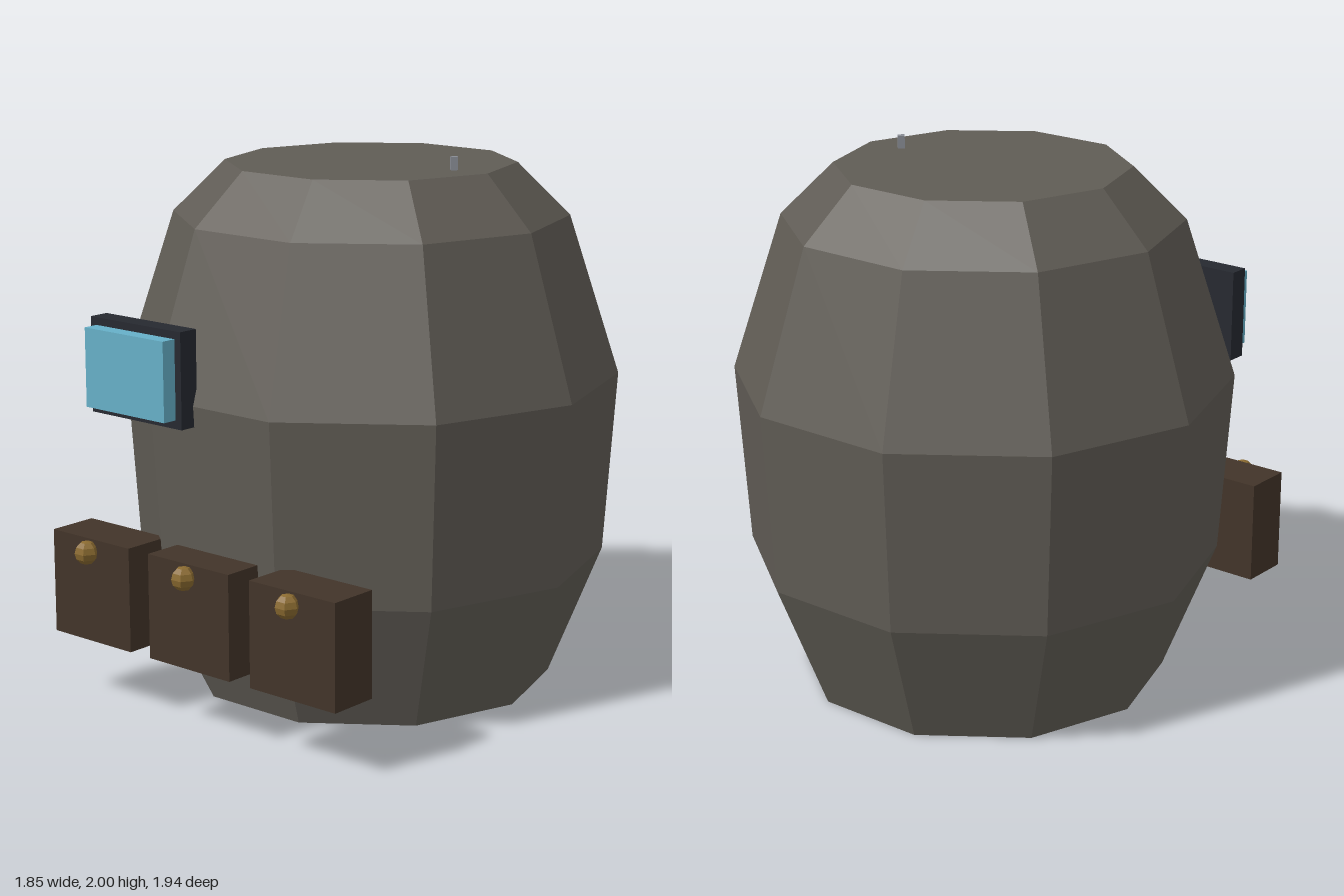
import * as THREE from 'three';

export function createModel() {
  const group = new THREE.Group();
  const material = (color) => new THREE.MeshStandardMaterial({ color, flatShading: true });
  const stone = material(0x605c55);
  const wood = material(0x423429);
  const brass = material(0x8a6a30);
  const frameDark = material(0x262930);
  const glassBlue = material(0x66b0c8);
  const metal = material(0x888c94);

  const add = (name, geometry, mat, x, y, z) => {
    const mesh = new THREE.Mesh(geometry, mat);
    mesh.name = name;
    mesh.position.set(x, y, z);
    group.add(mesh);
    return mesh;
  };

  // Ten-sided barrel body, closed top and bottom, a corner on +x and -x
  const profile = [
    [0, 0], [0.685, 0], [0.88, 0.49], [0.925, 1.17], [0.735, 1.76], [0.54, 1.953], [0, 1.953],
  ].map(([r, y]) => new THREE.Vector2(r, y));
  add('body', new THREE.LatheGeometry(profile, 10, Math.PI / 2), stone, 0, 0, -0.088);

  // Framed screen on the upper front
  add('screenFrame', new THREE.BoxGeometry(0.445, 0.35, 0.078), frameDark, -0.296, 1.27, 0.811);
  add('screen', new THREE.BoxGeometry(0.388, 0.29, 0.07), glassBlue, -0.296, 1.272, 0.873);

  // Three boxes across the lower front, each with a round clasp
  for (const x of [-0.488, 0, 0.488]) {
    add('pouch', new THREE.BoxGeometry(0.39, 0.39, 0.192), wood, x, 0.44, 0.812);
    add('clasp', new THREE.SphereGeometry(0.045, 6, 6), brass, x, 0.588, 0.929);
  }

  // Small four-sided pin on the top
  add('pin', new THREE.CylinderGeometry(0.018, 0.018, 0.1, 4), metal, 0.389, 1.95, -0.088);

  return group;
}
